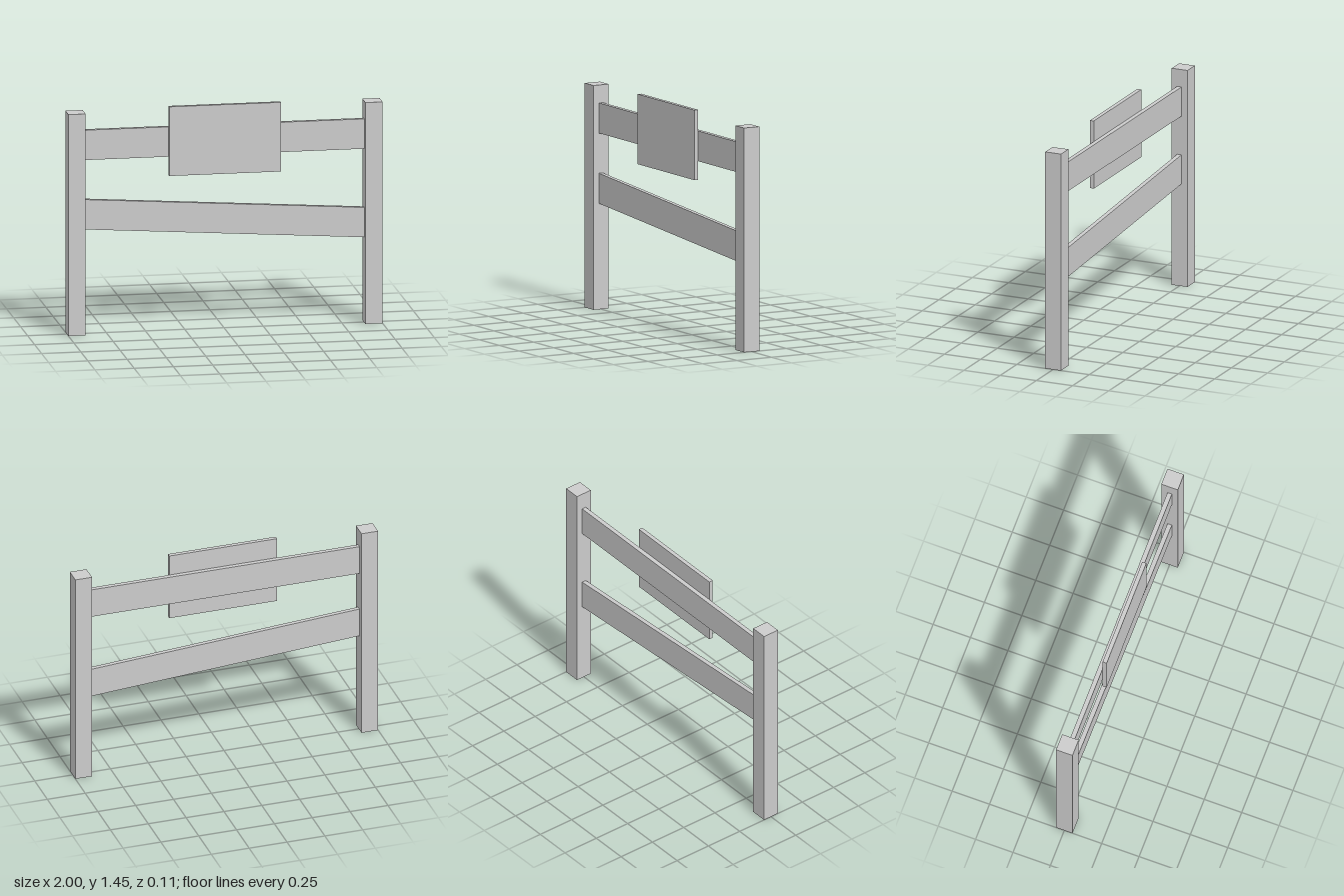
import * as THREE from 'three';

export function createModel() {
  const group = new THREE.Group();
  const material = new THREE.MeshStandardMaterial({ color: 0xcccccc, flatShading: true });

  const add = (name, geometry, x, y, z) => {
    const mesh = new THREE.Mesh(geometry, material);
    mesh.name = name;
    mesh.position.set(x, y, z);
    group.add(mesh);
  };

  const postHeight = 1.425, postWidth = 0.11;
  const railLength = 2 - 2 * postWidth, railHeight = 0.192, boardThickness = 0.029;

  // Square posts at both ends
  for (const [name, side] of [['leftPost', 1], ['rightPost', -1]]) {
    add(name, new THREE.BoxGeometry(postWidth, postHeight, postWidth),
      side * (1 - postWidth / 2), postHeight / 2, 0);
  }

  // Level top rail
  add('topRail', new THREE.BoxGeometry(railLength, railHeight, boardThickness), 0, 1.215, 0.001);

  // Lower rail, sheared so its ends stay upright against the posts
  const lower = new THREE.BoxGeometry(railLength, railHeight, boardThickness);
  lower.applyMatrix4(new THREE.Matrix4().makeShear(-0.123 / railLength, 0, 0, 0, 0, 0));
  lower.computeVertexNormals();
  add('slopingRail', lower, 0, 0.707, 0.001);

  // Blank sign board on the front of the top rail
  add('signBoard', new THREE.BoxGeometry(0.712, 0.445, 0.027), 0, 1.2235, 0.03);

  return group;
}
